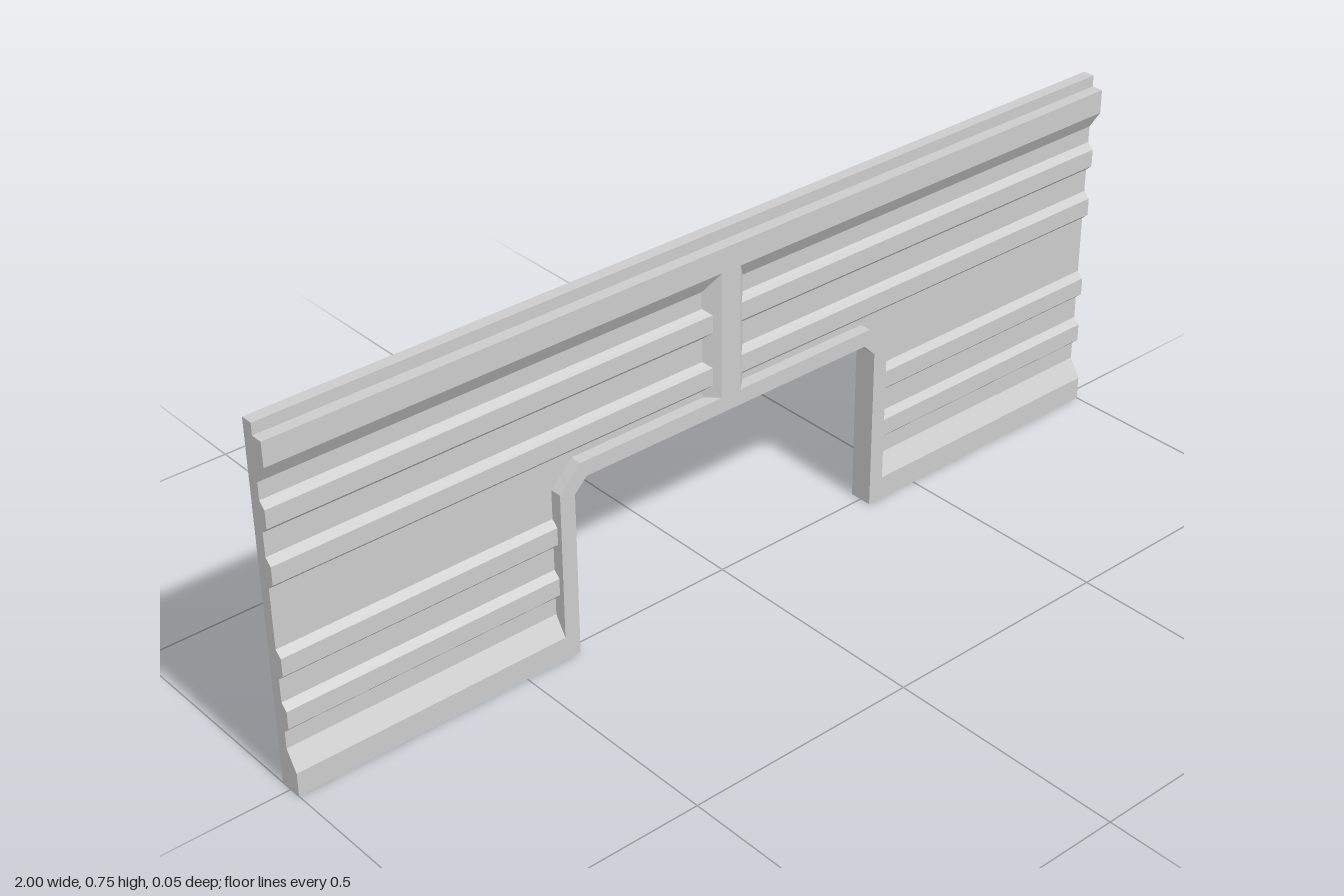
import * as THREE from 'three';

const material = new THREE.MeshStandardMaterial({ color: 0xcccccc, flatShading: true });

const toShape = (pts) => new THREE.Shape(pts.map(([x, y]) => new THREE.Vector2(x, y)));
const extrude = (pts, depth) =>
  new THREE.ExtrudeGeometry(toShape(pts), { depth, bevelEnabled: false });

export function createModel() {
  const group = new THREE.Group();
  const add = (name, geometry) => {
    const mesh = new THREE.Mesh(geometry, material);
    mesh.name = name;
    group.add(mesh);
  };

  // A [z, y] section swept along x from x0 to x1
  const sweepX = (name, section, x0, x1) =>
    add(name, extrude(section.map(([z, y]) => [-z, y]), x1 - x0)
      .rotateY(Math.PI / 2).translate(x0, 0, 0));

  const FRONT = 0.025, END = 1, FRAME = 0.409;

  // Doorway outlines with chamfered corners
  const inner = [[-0.375, 0], [-0.375, 0.352], [-0.347, 0.38],
    [0.347, 0.38], [0.375, 0.352], [0.375, 0]];
  const outer = [[-FRAME, 0], [-FRAME, 0.364], [-0.361, 0.413],
    [0.361, 0.413], [FRAME, 0.364], [FRAME, 0]];

  // Flat wall panel notched around the doorway
  add('backPanel', extrude([[-END, 0], ...inner, [END, 0], [END, 0.75], [-END, 0.75]], 0.025)
    .translate(0, 0, -0.025));

  // Raised border around the doorway
  add('doorwayFrame', extrude([...outer, ...inner.slice().reverse()], FRONT));

  // Top rail with a sloped underside, leaving a step along the upper edge
  sweepX('topRail', [[0, 0.637], [FRONT, 0.676], [FRONT, 0.726], [0, 0.726]], -END, END);

  // Trapezoid ribs, given by their lower edge
  const rib = (y) => [[0, y], [0.0135, y + 0.013], [0.0135, y + 0.05], [0, y + 0.063]];
  for (const y of [0.539, 0.427]) sweepX('upperRib', rib(y), -END, END);

  // Lower ribs and sloped bottom rail on both sides of the doorway
  const bottom = [[0, 0], [FRONT, 0], [FRONT, 0.05], [0, 0.09]];
  for (const [x0, x1] of [[-END, -FRAME], [FRAME, END]]) {
    for (const y of [0.239, 0.127]) sweepX('lowerRib', rib(y), x0, x1);
    sweepX('bottomRail', bottom, x0, x1);
  }

  // Central post with sloped sides, between doorway frame and top rail
  add('centrePost', extrude([[-0.05, 0], [0.05, 0], [0.0225, -FRONT], [-0.0225, -FRONT]], 0.263)
    .rotateX(-Math.PI / 2).translate(0, 0.413, 0));

  return group;
}
